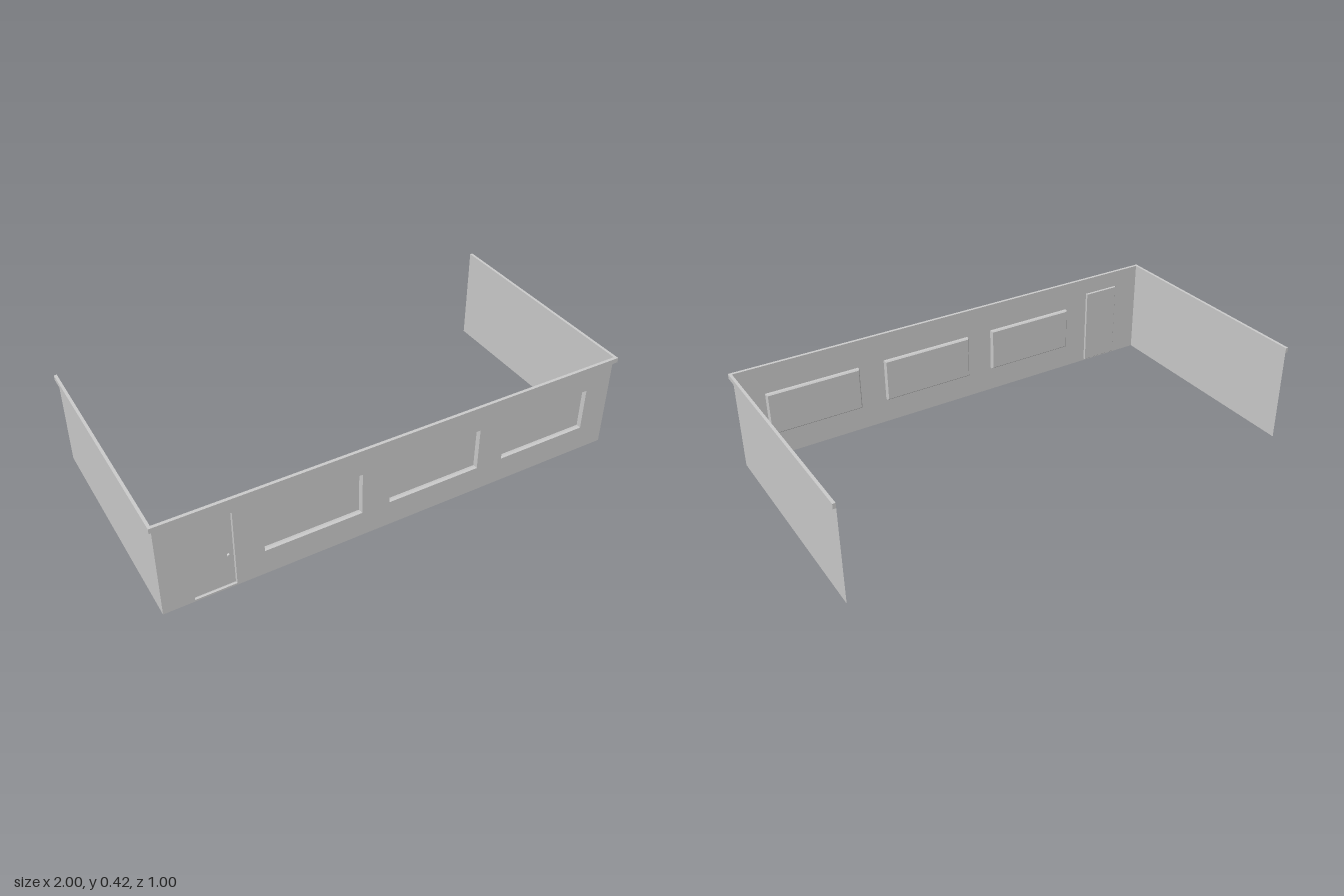
import * as THREE from 'three';

const wallX = 0.988, wallZ = 0.487, backZ = -0.5, wallTop = 0.403, trimTop = 0.424;

export function createModel() {
  const model = new THREE.Group();
  const material = new THREE.MeshStandardMaterial({ color: 0xcccccc, flatShading: true, side: THREE.DoubleSide });
  const add = (name, geometry, x = 0, y = 0, z = 0) => {
    const mesh = new THREE.Mesh(geometry, material);
    mesh.name = name;
    mesh.position.set(x, y, z);
    model.add(mesh);
    return mesh;
  };

  // Openings in the front wall, each with its recess depth and back bevel
  const openings = [-0.585, -0.06, 0.464].map((x, i) => (
    { name: `windowRecess${i + 1}`, x0: x, x1: x + 0.406, y0: 0.112, y1: 0.3, depth: 0.017, bevel: 0.005 }));
  openings.push({ name: 'doorRecess', x0: -0.865, x1: -0.7, y0: 0.008, y1: 0.35, depth: 0.009, bevel: 0.002 });

  // Front wall, a thin sheet with holes
  const outline = rectangle(new THREE.Shape(), -wallX, wallX, 0, wallTop);
  for (const o of openings) outline.holes.push(rectangle(new THREE.Path(), o.x0, o.x1, o.y0, o.y1));
  add('frontWall', new THREE.ShapeGeometry(outline), 0, 0, wallZ);
  for (const o of openings) add(o.name, recessGeometry(o), 0, 0, wallZ);

  // Door knob
  const knob = new THREE.CylinderGeometry(0.006, 0.006, 0.008, 12).rotateX(Math.PI / 2);
  add('doorKnob', knob, -0.722, 0.155, wallZ - 0.005);

  // Side walls and the trim along their tops
  const depth = wallZ - backZ, midZ = (wallZ + backZ) / 2;
  const trimHeight = trimTop - wallTop, trimY = (trimTop + wallTop) / 2;
  for (const s of [1, -1]) {
    const side = s > 0 ? 'left' : 'right';
    add(`${side}Wall`, new THREE.PlaneGeometry(depth, wallTop).rotateY(s * Math.PI / 2), s * wallX, wallTop / 2, midZ);
    add(`${side}Trim`, new THREE.BoxGeometry(1 - wallX, trimHeight, depth), s * (1 + wallX) / 2, trimY, midZ);
  }
  add('frontTrim', new THREE.BoxGeometry(2, trimHeight, 0.5 - wallZ), 0, trimY, (0.5 + wallZ) / 2);
  return model;
}

function rectangle(path, x0, x1, y0, y1) {
  path.moveTo(x0, y0);
  path.lineTo(x1, y0);
  path.lineTo(x1, y1);
  path.lineTo(x0, y1);
  path.closePath();
  return path;
}

// Shallow tray open to the front: straight sides, a small bevel, a flat back
function recessGeometry({ x0, x1, y0, y1, depth, bevel }) {
  const positions = [], index = [];
  for (const [inset, z] of [[0, 0], [0, bevel - depth], [bevel, -depth]]) {
    positions.push(x0 + inset, y0 + inset, z, x1 - inset, y0 + inset, z,
      x1 - inset, y1 - inset, z, x0 + inset, y1 - inset, z);
  }
  for (let ring = 0; ring < 2; ring++) {
    for (let i = 0; i < 4; i++) {
      const a = ring * 4 + i, b = ring * 4 + (i + 1) % 4;
      index.push(a, a + 4, b, b, a + 4, b + 4);
    }
  }
  index.push(8, 9, 10, 8, 10, 11);
  // Unshared corners keep the folds sharp
  const shared = new THREE.BufferGeometry();
  shared.setAttribute('position', new THREE.Float32BufferAttribute(positions, 3));
  shared.setIndex(index.map((v, i) => index[i]));
  const geometry = shared.toNonIndexed();
  // Turn the side faces to look into the tray
  const p = geometry.attributes.position, centre = new THREE.Vector3((x0 + x1) / 2, (y0 + y1) / 2, 0);
  for (let i = 0; i < p.count; i += 3) {
    const [a, b, c] = [0, 1, 2].map(k => new THREE.Vector3().fromBufferAttribute(p, i + k));
    const normal = b.clone().sub(a).cross(c.clone().sub(a));
    if (normal.dot(centre.clone().sub(a)) < 0) {
      p.setXYZ(i + 1, c.x, c.y, c.z);
      p.setXYZ(i + 2, b.x, b.y, b.z);
    }
  }
  geometry.computeVertexNormals();
  return geometry;
}
